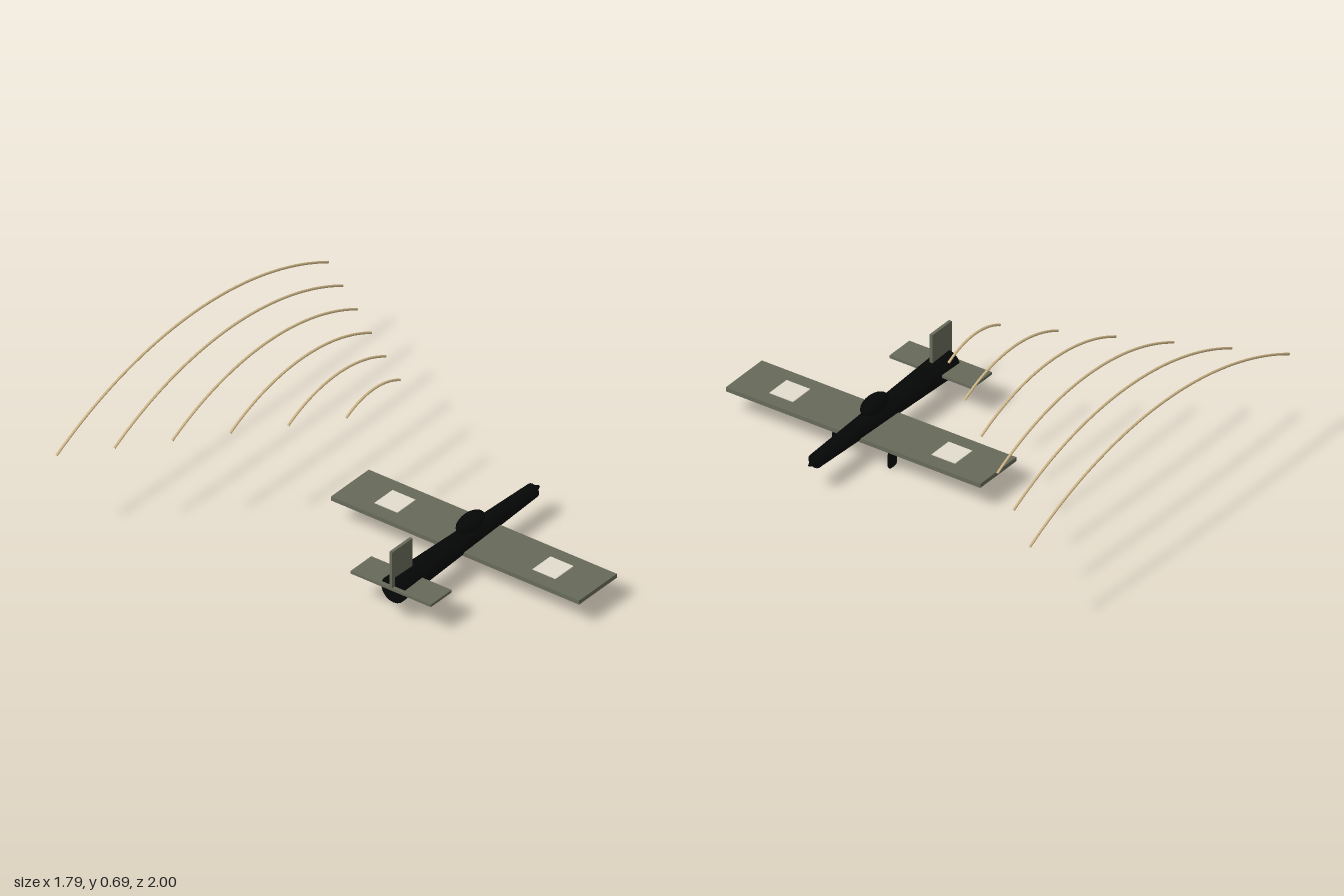
import * as THREE from 'three';
import { RoundedBoxGeometry } from 'three/addons/geometries/RoundedBoxGeometry.js';

const material = (name, color) => {
  const m = new THREE.MeshStandardMaterial({ color });
  m.name = name;
  return m;
};

export function createModel() {
  const olive = material('olive drab', 0x666a59);
  const black = material('near black', 0x050606);
  const pale = material('pale patch', 0xe2dccd);
  const tan = material('tan', 0xd0b888);

  const model = new THREE.Group();
  model.name = 'aircraftWithArcs';
  const plane = new THREE.Group();
  plane.name = 'aircraft';
  plane.position.z = 0.374;
  model.add(plane);

  const add = (parent, name, geometry, mat, x, y, z) => {
    const mesh = new THREE.Mesh(geometry, mat);
    mesh.name = name;
    mesh.position.set(x, y, z);
    parent.add(mesh);
    return mesh;
  };
  const box = (name, mat, w, h, d, x, y, z) =>
    add(plane, name, new THREE.BoxGeometry(w, h, d), mat, x, y, z);

  // Tapered fuselage pointing along +x, with a small stepped nose cone
  add(plane, 'fuselage', new THREE.CylinderGeometry(0.032, 0.061, 0.914, 20).rotateZ(-Math.PI / 2),
    black, -0.004, 0.151, 0);
  add(plane, 'noseCone', new THREE.CylinderGeometry(0.004, 0.023, 0.042, 16).rotateZ(-Math.PI / 2),
    black, 0.473, 0.151, 0);

  // Canopy
  add(plane, 'canopy', new THREE.SphereGeometry(0.04, 24, 16).scale(2.05, 1, 1),
    black, 0.044, 0.212, 0);

  // Flying surfaces
  box('wing', olive, 0.248, 0.019, 1.25, 0.067, 0.128, 0);
  box('tailplane', olive, 0.137, 0.012, 0.405, -0.411, 0.163, 0);
  box('tailFin', olive, 0.134, 0.18, 0.014, -0.411, 0.249, 0);

  // Mirrored wing patches and wheels
  for (const [side, s] of [['right', 1], ['left', -1]]) {
    box(side + 'WingPatch', pale, 0.117, 0.004, 0.116, 0.068, 0.139, s * 0.398);
    add(plane, side + 'Wheel', new RoundedBoxGeometry(0.055, 0.08, 0.036, 3, 0.017).scale(1, 1, 0.5),
      black, 0.113, 0.04, s * 0.137);
  }

  // Row of growing circular arcs receding behind the wing tip
  const arcs = new THREE.Group();
  arcs.name = 'arcs';
  model.add(arcs);
  for (let i = 0; i < 6; i++) {
    const half = 0.177 + i * 0.143;
    const sag = 0.046 + i * 0.034;
    const radius = (half * half + sag * sag) / (2 * sag);
    const angle = Math.asin(half / radius);
    const geometry = new THREE.TorusGeometry(radius, 0.0055, 8, 40, 2 * angle)
      .rotateZ(Math.PI / 2 - angle);
    add(arcs, 'arc' + (i + 1), geometry, tan, 0, 0.685 - radius, -0.084 - i * 0.182);
  }
  return model;
}
